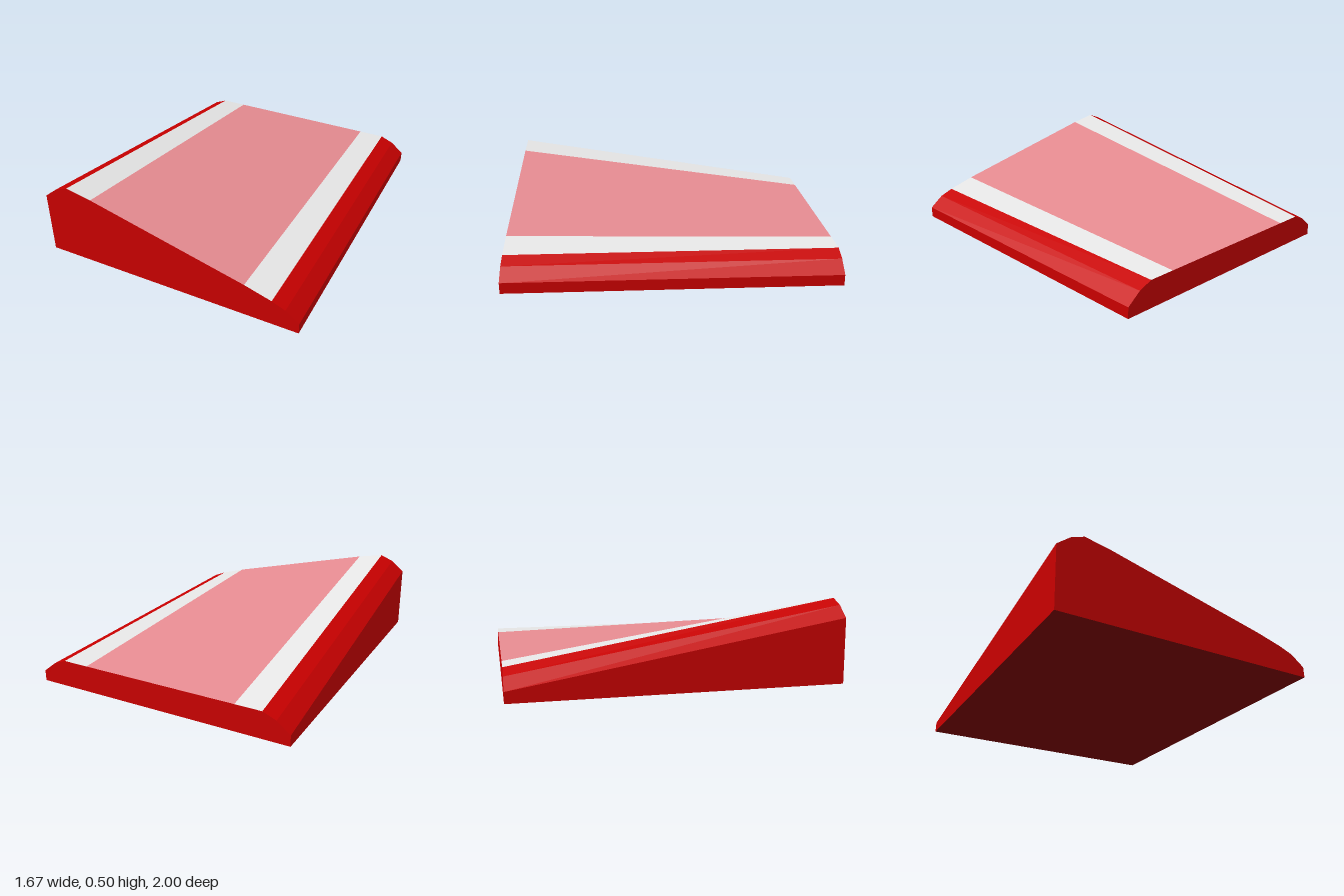
import * as THREE from 'three';

const mat = (name, color) => Object.assign(new THREE.MeshStandardMaterial({ color }), { name });

// Cross-section heights at the front (z = 1) and back (z = -1), from -x to +x
const X = [-0.833, -0.75, -0.667, -0.5, 0.5, 0.667, 0.75, 0.833];
const FRONT = [0.4, 0.467, 0.5, 0.467, 0.217, 0.167, 0.133, 0.067];
const BACK = [0.067, 0.133, 0.167, 0.167, 0.167, 0.167, 0.133, 0.067];

// Four-cornered panel, shaded as one even facet even where its corners twist
function panel(frontL, frontR, backR, backL) {
  const corners = [frontL, frontR, backR, backL];
  const normal = frontR.clone().sub(backL).cross(backR.clone().sub(frontL)).normalize();
  const g = new THREE.BufferGeometry().setFromPoints(corners);
  g.setAttribute('normal', new THREE.Float32BufferAttribute(corners.flatMap(() => normal.toArray()), 3));
  g.setIndex([0, 1, 3, 1, 2, 3]);
  return g;
}

export function createModel() {
  const red = mat('red', 0xc80000);
  const darkRed = mat('dark red', 0x780000);
  const grey = mat('light grey', 0xe6e6e6);
  const pink = mat('pink', 0xe68b91);
  const group = new THREE.Group();
  group.name = 'twistedWedge';
  const add = (name, geometry, material) => {
    const mesh = new THREE.Mesh(geometry, material);
    mesh.name = name;
    group.add(mesh);
    return mesh;
  };
  const v = (x, y, z) => new THREE.Vector3(x, y, z);

  // Top strips: bevelled red edges, grey borders, pink centre
  const strips = [
    ['rightLowerBevel', red], ['rightUpperBevel', red], ['rightBorder', grey],
    ['centrePanel', pink],
    ['leftBorder', grey], ['leftUpperBevel', red], ['leftLowerBevel', red],
  ];
  strips.forEach(([name, material], i) => add(name, panel(
    v(X[i], FRONT[i], 1), v(X[i + 1], FRONT[i + 1], 1),
    v(X[i + 1], BACK[i + 1], -1), v(X[i], BACK[i], -1)), material));

  // Side walls
  const w = X[7];
  add('rightWall', panel(v(-w, 0, 1), v(-w, FRONT[0], 1), v(-w, BACK[0], -1), v(-w, 0, -1)), red);
  add('leftWall', panel(v(w, FRONT[7], 1), v(w, 0, 1), v(w, 0, -1), v(w, BACK[7], -1)), red);

  // Underside
  add('base', panel(v(w, 0, 1), v(-w, 0, 1), v(-w, 0, -1), v(w, 0, -1)), darkRed);

  // End walls cut to the cross-section; the back profile is symmetric, so it can be turned round
  const end = (heights) => new THREE.ShapeGeometry(new THREE.Shape([
    new THREE.Vector2(-w, 0), new THREE.Vector2(w, 0),
    ...X.map((x, i) => new THREE.Vector2(x, heights[i])).reverse(),
  ]));
  add('frontWall', end(FRONT), red).position.z = 1;
  const back = add('backWall', end(BACK), red);
  back.rotation.y = Math.PI;
  back.position.z = -1;

  return group;
}
